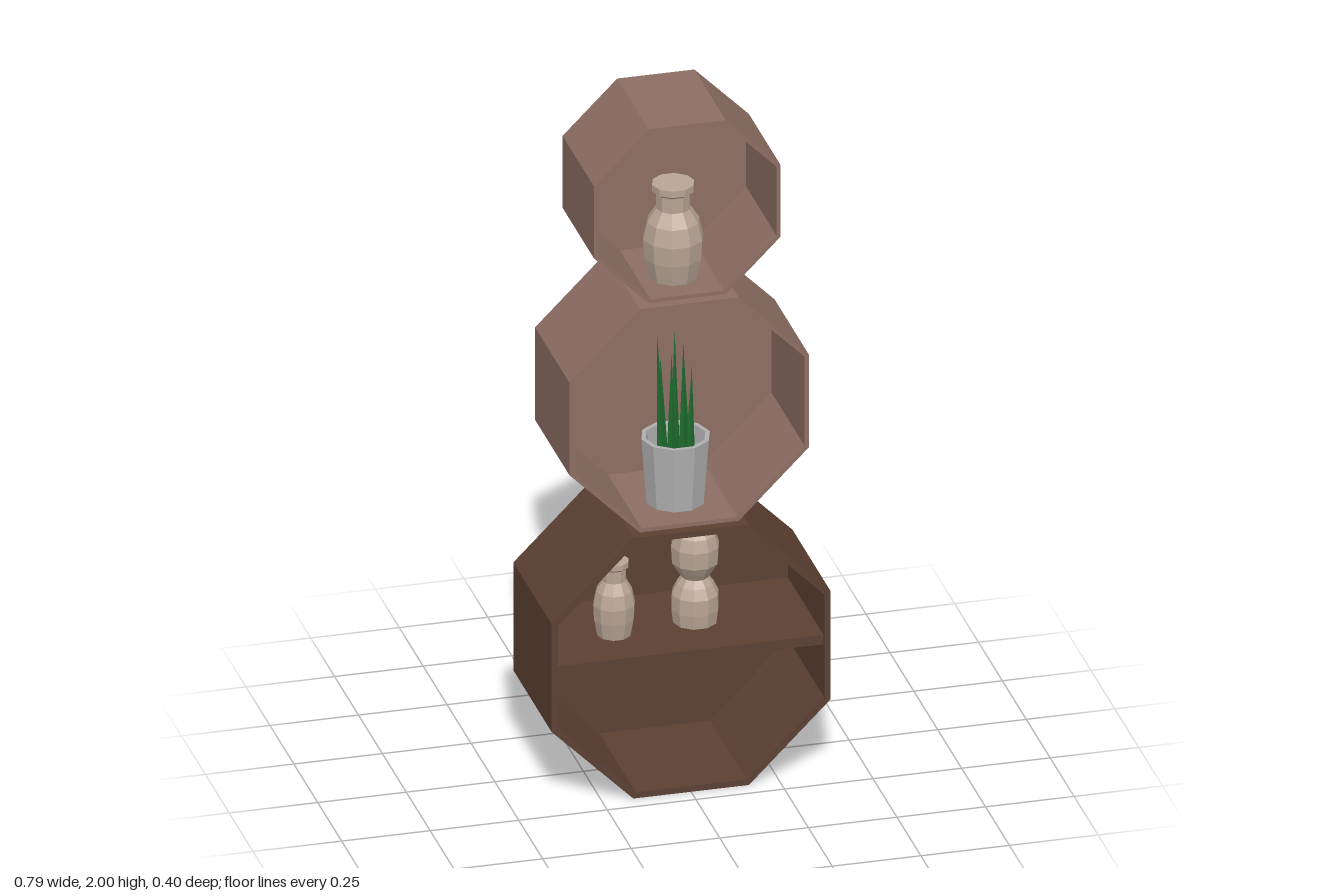
import * as THREE from 'three';

const mat = (name, color, opts = {}) => new THREE.MeshStandardMaterial({ name, color, ...opts });

// Regular octagon with flat top and bottom; a = distance from centre to a side
function octagon(a, Kind = THREE.Shape) {
  const r = a / Math.cos(Math.PI / 8);
  const pts = [];
  for (let i = 0; i < 8; i++) {
    const t = Math.PI / 8 + i * Math.PI / 4;
    pts.push(new THREE.Vector2(r * Math.cos(t), r * Math.sin(t)));
  }
  return new Kind(pts);
}

function add(parent, name, geometry, material, x = 0, y = 0, z = 0) {
  const mesh = new THREE.Mesh(geometry, material);
  mesh.name = name;
  mesh.position.set(x, y, z);
  parent.add(mesh);
  return mesh;
}

// Open-fronted octagonal box: hollow wall ring plus a back panel
function octagonBox(name, a, depth, wall, material) {
  const box = new THREE.Group();
  box.name = name;
  const ring = octagon(a);
  ring.holes.push(octagon(a - wall, THREE.Path));
  const back = -depth / 2;
  add(box, 'walls', new THREE.ExtrudeGeometry(ring, { depth: depth - wall, bevelEnabled: false }), material, 0, 0, back + wall);
  add(box, 'backPanel', new THREE.ExtrudeGeometry(octagon(a), { depth: wall, bevelEnabled: false }), material, 0, 0, back);
  return box;
}

// Ten-sided faceted turned shape from [radius, height] pairs
function turned(profile, radius = 1, height = 1) {
  const pts = profile.map(([r, h]) => new THREE.Vector2(r * radius, h * height));
  return new THREE.LatheGeometry(pts, 10, Math.PI / 10);
}

export function createModel() {
  const model = new THREE.Group();
  model.name = 'octagonShelves';

  const darkWood = mat('darkWood', 0x5c4033);
  const lightWood = mat('lightWood', 0x8d6e63);
  const ceramic = mat('ceramic', 0xb8a596, { flatShading: true });
  const potGrey = mat('potGrey', 0xb0b0b0, { flatShading: true, side: THREE.DoubleSide });
  const leafGreen = mat('leafGreen', 0x1e6b2e, { flatShading: true });

  // Three stacked boxes
  const boxes = [
    ['lowerBox', 0.394, 0.4, 0.018, darkWood, 0.394, 0],
    ['middleBox', 0.338, 0.36, 0.012, lightWood, 1.131, 0],
    ['upperBox', 0.263, 0.33, 0.011, lightWood, 1.737, -0.005],
  ];
  for (const [name, a, depth, wall, material, y, z] of boxes) {
    const box = octagonBox(name, a, depth, wall, material);
    box.position.set(0, y, z);
    model.add(box);
  }

  // Shelf across the lower box
  add(model, 'shelf', new THREE.BoxGeometry(0.752, 0.028, 0.375), darkWood, 0, 0.41, 0.006);

  // Tall-necked vases
  const vaseProfile = [[0, 0], [0.8, 0], [0.96, 0.22], [1, 0.42], [0.86, 0.6], [0.57, 0.74], [0.57, 0.9], [0.7, 0.93], [0.7, 1], [0, 1]];
  add(model, 'largeVase', turned(vaseProfile, 0.085, 0.281), ceramic, -0.005, 1.485, 0.03);
  add(model, 'smallVase', turned(vaseProfile, 0.059, 0.222), ceramic, -0.173, 0.424, 0.035);

  // Double-bulb vase
  const bulbProfile = [[0, 0], [0.062, 0], [0.067, 0.04], [0.066, 0.085], [0.052, 0.115], [0.037, 0.135],
    [0.05, 0.155], [0.065, 0.18], [0.068, 0.23], [0.058, 0.265], [0.035, 0.286], [0, 0.291]];
  add(model, 'doubleBulbVase', turned(bulbProfile), ceramic, 0.062, 0.424, 0.011);

  // Potted plant
  const plant = new THREE.Group();
  plant.name = 'pottedPlant';
  plant.position.set(0.002, 0.805, 0.03);
  model.add(plant);
  const potProfile = [[0, 0], [0.082, 0], [0.097, 0.195], [0.084, 0.195], [0.078, 0.14], [0, 0.14]];
  add(plant, 'pot', turned(potProfile), potGrey);

  // Spiky leaves: base x, base z, tip x, tip z, tip height
  const leaves = [
    [-0.04, 0.0, -0.056, 0.015, 0.51], [-0.02, 0.025, -0.022, 0.04, 0.465],
    [0.0, -0.01, 0.0, -0.01, 0.51], [0.015, 0.02, 0.014, 0.03, 0.49],
    [0.03, -0.015, 0.028, -0.025, 0.46], [0.038, 0.005, 0.043, 0.01, 0.4],
    [-0.03, -0.025, -0.032, -0.04, 0.42],
  ];
  const up = new THREE.Vector3(0, 1, 0);
  for (const [bx, bz, tx, tz, h] of leaves) {
    const base = new THREE.Vector3(bx, 0.13, bz);
    const dir = new THREE.Vector3(tx, h, tz).sub(base);
    const length = dir.length();
    const leaf = new THREE.ConeGeometry(0.015, length, 5).translate(0, length / 2, 0);
    add(plant, 'leaf', leaf, leafGreen, base.x, base.y, base.z)
      .quaternion.setFromUnitVectors(up, dir.normalize());
  }

  return model;
}
